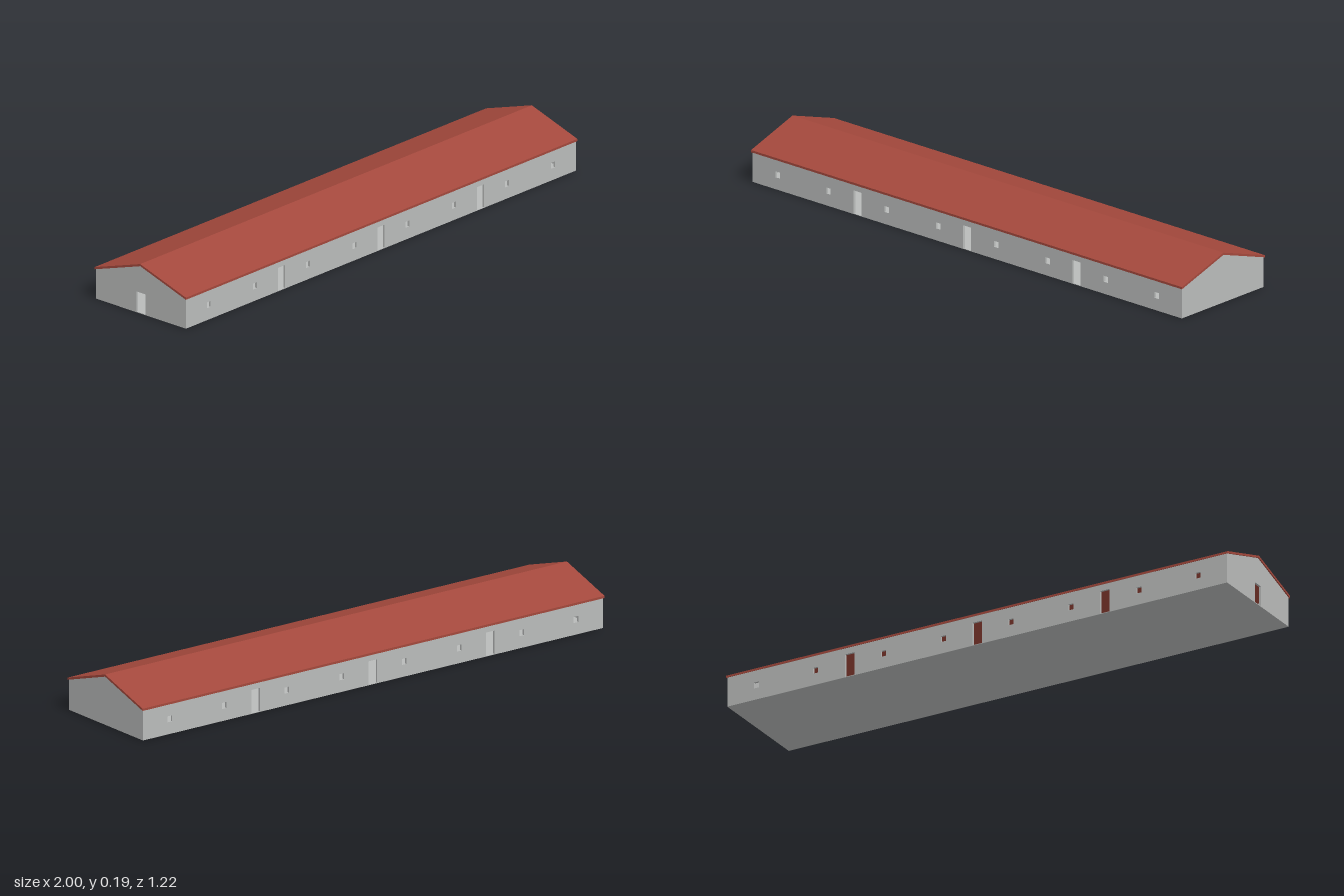
import * as THREE from 'three';

const L = 0.998, W = 0.209;        // wall half length and half width
const ROOF_L = 1.002, ROOF_W = 0.2125;
const EAVE = 0.109, RIDGE = 0.177, SLAB = 0.008; // roof underside heights, thickness
const THICK = 0.008, FLOOR = 0.002;

export function createModel() {
  const wallMat = new THREE.MeshStandardMaterial({ color: 0xb9bbba });
  wallMat.name = 'grey plaster';
  const roofMat = new THREE.MeshStandardMaterial({ color: 0xa3483c });
  roofMat.name = 'red roof';

  const building = new THREE.Group();
  building.name = 'longBuilding';

  const outline = (points) => new THREE.Shape(points.map(([x, y]) => new THREE.Vector2(x, y)));
  const opening = (cx, y0, w, h) => {
    const x0 = cx - w / 2, x1 = cx + w / 2;
    return new THREE.Path([[x0, y0], [x0, y0 + h], [x1, y0 + h], [x1, y0]]
      .map(([x, y]) => new THREE.Vector2(x, y)));
  };
  const extrude = (name, shape, depth, material) => {
    const mesh = new THREE.Mesh(
      new THREE.ExtrudeGeometry(shape, { depth, bevelEnabled: false }), material);
    mesh.name = name;
    building.add(mesh);
    return mesh;
  };

  // long walls with three doorways and eight small windows each
  for (const side of [1, -1]) {
    const wall = outline([[-L, 0], [L, 0], [L, 0.112], [-L, 0.112]]);
    for (const x of [-0.509, 0, 0.509]) wall.holes.push(opening(x, FLOOR, 0.037, 0.085));
    for (const x of [0.135, 0.374, 0.645, 0.881]) {
      wall.holes.push(opening(x, 0.044, 0.02, 0.022), opening(-x, 0.044, 0.02, 0.022));
    }
    const mesh = extrude(side > 0 ? 'frontWall' : 'backWall', wall, THICK, wallMat);
    mesh.position.z = side > 0 ? W - THICK : -W;
  }

  // gable walls, one with a doorway
  for (const side of [1, -1]) {
    const w = W - 0.0005;
    const gable = outline([[-w, 0], [w, 0], [w, 0.111], [0, RIDGE + 0.002], [-w, 0.111]]);
    if (side < 0) gable.holes.push(opening(0, FLOOR, 0.043, 0.075));
    const mesh = extrude(side > 0 ? 'leftGable' : 'rightGable', gable, THICK, wallMat);
    mesh.rotation.y = Math.PI / 2;
    mesh.position.x = side > 0 ? L - THICK : -L;
  }

  // floor slab
  const floor = new THREE.Mesh(new THREE.BoxGeometry(2 * L - 0.001, FLOOR, 2 * W - 0.001), wallMat);
  floor.name = 'floor';
  floor.position.y = FLOOR / 2;
  building.add(floor);

  // pitched roof, open underneath
  const roof = extrude('roof', outline([
    [-ROOF_W, EAVE], [0, RIDGE], [ROOF_W, EAVE],
    [ROOF_W, EAVE + SLAB], [0, RIDGE + SLAB], [-ROOF_W, EAVE + SLAB],
  ]), 2 * ROOF_L, roofMat);
  roof.rotation.y = Math.PI / 2;
  roof.position.x = -ROOF_L;

  // the whole building stands at an angle
  building.rotation.y = 0.43;
  const model = new THREE.Group();
  model.add(building);
  return model;
}
